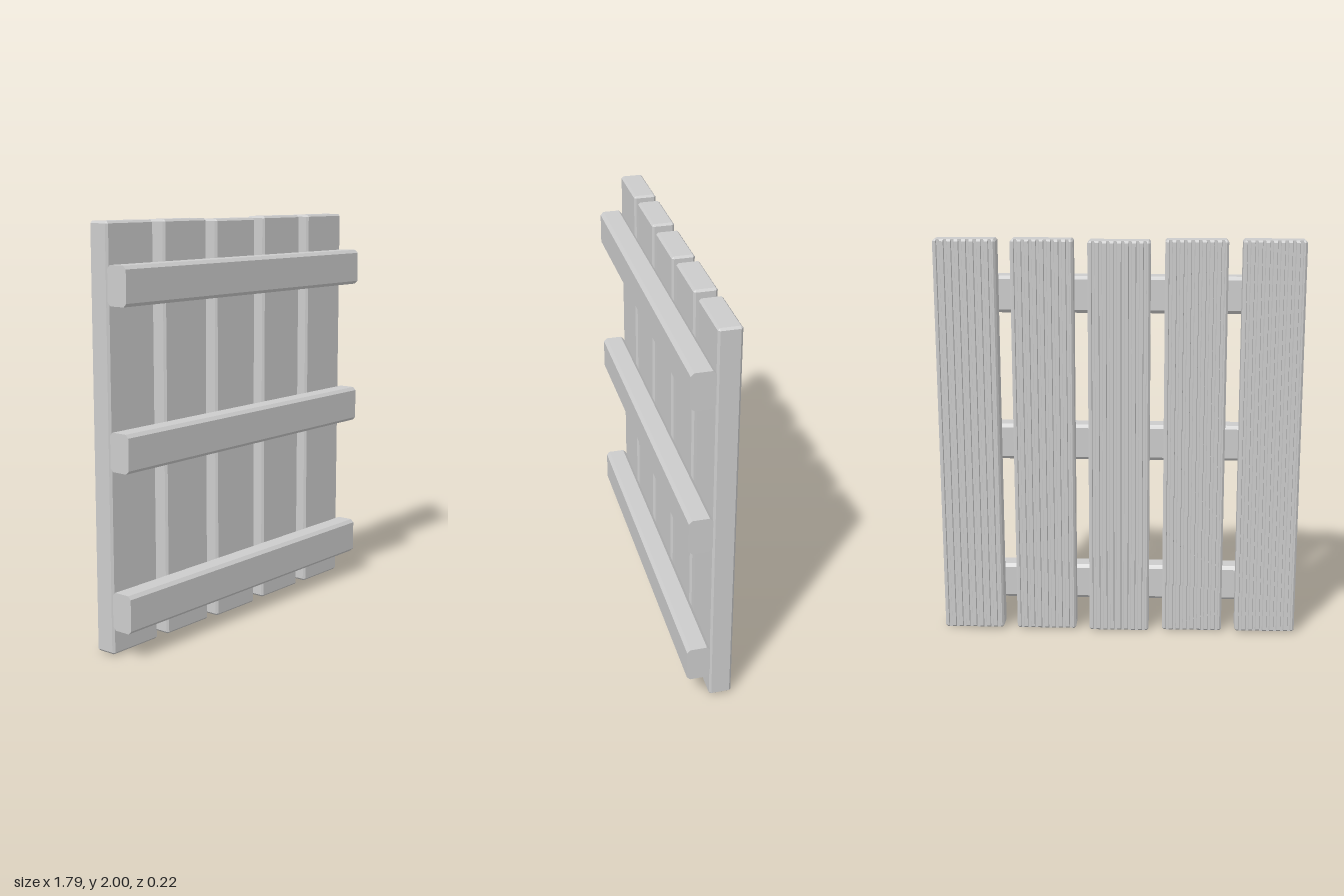
import * as THREE from 'three';

const mat = new THREE.MeshStandardMaterial({ color: 0xcccccc, flatShading: true });

// Upright plank: chamfered profile with grooves along the back, chamfered ends
function plankGeometry(w, d, h, c, grooves) {
  const pitch = w / (2 * grooves + 1), x0 = w / 2, slope = pitch * 0.15;
  const pts = [[-x0 + c, 0], [x0 - c, 0], [x0, c], [x0, d - c], [x0 - c, d]];
  for (let i = 0; i < grooves; i++) {
    const r = x0 - pitch * (1 + 2 * i), l = r - pitch;
    pts.push([r, d], [r - slope, d - c], [l + slope, d - c], [l, d]);
  }
  pts.push([-x0 + c, d], [-x0, d - c], [-x0, c]);
  const shape = new THREE.Shape(pts.map(([x, y]) => new THREE.Vector2(x, y)));
  const g = new THREE.ExtrudeGeometry(shape, { depth: 3, steps: 3, bevelEnabled: false });
  const p = g.attributes.position;
  const heights = [0, c, h - c, h];
  for (let i = 0; i < p.count; i++) {
    const k = Math.round(p.getZ(i));
    if (k === 0 || k === 3) { // pull the end rings inwards
      p.setX(i, THREE.MathUtils.clamp(p.getX(i), -x0 + c, x0 - c));
      p.setY(i, THREE.MathUtils.clamp(p.getY(i), c, d - c));
    }
    p.setZ(i, heights[k]);
  }
  g.rotateX(-Math.PI / 2); // length up, grooves to the back
  g.computeVertexNormals();
  return g;
}

// Cross rail: octagonal section with square-cut ends, running along x
function railGeometry(len, h, d, c) {
  const a = d / 2, b = h / 2;
  const pts = [[-a + c, -b], [a - c, -b], [a, -b + c], [a, b - c],
    [a - c, b], [-a + c, b], [-a, b - c], [-a, -b + c]];
  const shape = new THREE.Shape(pts.map(([x, y]) => new THREE.Vector2(x, y)));
  const g = new THREE.ExtrudeGeometry(shape, { depth: len, bevelEnabled: false });
  g.translate(0, 0, -len / 2);
  g.rotateY(Math.PI / 2);
  return g;
}

export function createModel() {
  const group = new THREE.Group();
  group.name = 'slattedPanel';

  // Five upright planks, the middle one set slightly lower
  const plank = plankGeometry(0.303, 0.11, 1.994, 0.01, 8);
  for (let i = -2; i <= 2; i++) {
    const m = new THREE.Mesh(plank, mat);
    m.name = 'plank' + (i + 3);
    m.position.set(i * 0.372, i === 0 ? 0 : 0.006, -0.002);
    group.add(m);
  }

  // Three cross rails on the front
  const rail = railGeometry(1.793, 0.182, 0.113, 0.016);
  ['lowerRail', 'middleRail', 'upperRail'].forEach((name, i) => {
    const m = new THREE.Mesh(rail, mat);
    m.name = name;
    m.position.set(0, 0.221 + i * 0.749, 0.0555);
    group.add(m);
  });
  return group;
}
